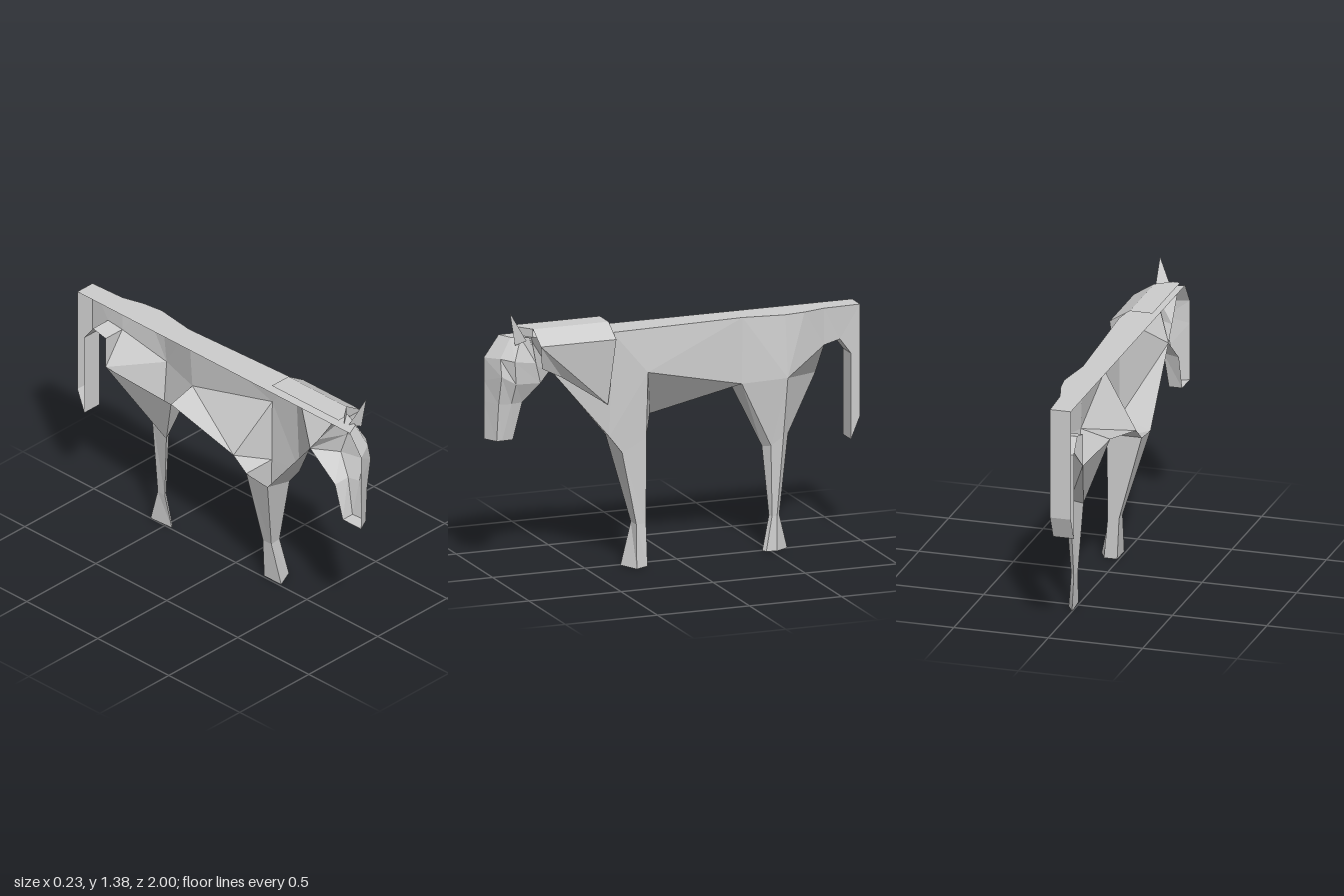
import * as THREE from 'three';

const CX = -0.12; // plane of the open cut side

const material = new THREE.MeshStandardMaterial({
  color: 0xcccccc, flatShading: true, side: THREE.DoubleSide,
});

// Flat-shaded mesh from polygons, each split into a fan
function facets(name, polygons) {
  const pos = [];
  for (const p of polygons)
    for (let i = 1; i < p.length - 1; i++) pos.push(...p[0], ...p[i], ...p[i + 1]);
  const geo = new THREE.BufferGeometry();
  geo.setAttribute('position', new THREE.Float32BufferAttribute(pos, 3));
  geo.computeVertexNormals();
  const mesh = new THREE.Mesh(geo, material);
  mesh.name = name;
  return mesh;
}

// Quads between successive rings of equal length
function loft(rings, closed) {
  const out = [];
  for (let r = 0; r < rings.length - 1; r++) {
    const a = rings[r], b = rings[r + 1], n = a.length;
    for (let i = 0; i < (closed ? n : n - 1); i++) {
      const j = (i + 1) % n;
      out.push([a[i], b[i], b[j], a[j]]);
    }
  }
  return out;
}

export function createModel() {
  const group = new THREE.Group();

  // Points along the back, from poll to dock
  const back = [[0, 0.8], [0.055, 0.37], [0.02, -0.35], [0.05, -0.57], [0.035, -0.68], [0, -0.8], [-0.01, -1]]
    .map(([x, z]) => [x, 1.232, z]);
  const [poll, withers, loin, croup, rump, dock, tailTop] = back;

  // Side and centre points of the trunk
  const jaw = [0.01, 1.08, 0.76];
  const throat = [CX, 1.02, 0.64];
  const shoulder = [0.06, 0.69, 0.39];
  const elbow = [0.074, 1.01, 0.185];
  const flank = [0.035, 0.89, -0.34];
  const haunch = [0.085, 0.91, -0.57];
  const buttock = [0, 1.04, -0.8];
  const breast = [CX, 0.655, 0.34];
  const legOuter = [0.06, 0.6, 0.32];
  const legRear = [0.065, 0.67, 0.19];
  const legInner = [CX, 0.67, 0.19];
  const bellyFront = [CX, 0.74, 0.1];
  const bellyRear = [CX, 0.85, -0.34];
  const crotch = [CX, 0.87, -0.8];

  // Hind leg: knee, ankle and hoof rings (front inner, front outer, outer, rear)
  const knee = [[-0.02, 0.54, -0.47], [0.03, 0.55, -0.5], [0.05, 0.6, -0.56], [0.01, 0.6, -0.6]];
  const ankle = [[0, 0.18, -0.5], [0.02, 0.18, -0.51], [0.025, 0.18, -0.535], [0.005, 0.18, -0.555]];
  const hoof = [[0.01, 0, -0.46], [0.03, 0, -0.475], [0.04, 0, -0.53], [0, 0, -0.6]];

  const topStrip = loft([back.map(([, y, z]) => [CX, y, z]), back], false);
  group.add(facets('back', topStrip));
  group.add(facets('neck', [
    [throat, withers, poll, jaw],
    [throat, shoulder, withers],
    [throat, breast, shoulder],
  ]));
  group.add(facets('trunk', [
    [withers, shoulder, elbow],
    [shoulder, legRear, elbow],
    [shoulder, legOuter, legRear],
    [shoulder, breast, legOuter],
    [withers, elbow, loin],
    [elbow, flank, loin],
    [elbow, legRear, bellyFront],
    [elbow, bellyFront, flank],
    [legRear, legInner, bellyFront],
    [bellyFront, bellyRear, flank],
    [loin, flank, haunch],
    [loin, haunch, croup],
  ]));
  group.add(facets('hindquarter', [
    [croup, haunch, rump],
    [rump, haunch, buttock],
    [rump, buttock, dock],
    [haunch, crotch, buttock],
    [buttock, crotch, [CX, 1.04, -0.8]],
    [haunch, knee[2], knee[3]],
    [haunch, knee[3], crotch],
    [flank, knee[1], haunch],
    [haunch, knee[1], knee[2]],
    [flank, bellyRear, knee[0]],
    [flank, knee[0], knee[1]],
    [bellyRear, crotch, knee[0]],
    [crotch, knee[3], knee[0]],
  ]));
  group.add(facets('hindLeg', [...loft([knee, ankle, hoof], true), hoof]));

  // Front leg tapers from the chest to the ankle, then flares into the hoof
  const foreHoof = [[0.01, 0, 0.31], [0.115, 0, 0.262], [0.08, 0, 0.19], [0.01, 0, 0.19]];
  group.add(facets('frontLeg', [
    ...loft([
      [breast, legOuter, legRear, legInner],
      [[0, 0.22, 0.25], [0.065, 0.22, 0.245], [0.06, 0.22, 0.19], [0, 0.22, 0.19]],
      foreHoof,
    ], true),
    foreHoof,
  ]));

  // Tail: a flat outer side with a strip running round its edge
  const tailSide = [[1.232, -0.8], [1.04, -0.8], [1.06, -0.89], [0.98, -0.95], [0.53, -0.95], [0.65, -1], [1.232, -1]]
    .map(([y, z]) => [-0.01 + (z === -0.8 ? 0.01 : 0), y, z]);
  const [s0, s1, s2, s3, s4, s5, s6] = tailSide;
  group.add(facets('tail', [
    [s0, s1, s2], [s0, s2, s6], [s2, s3, s6], [s3, s4, s5, s6],
    ...loft([tailSide.slice(1), tailSide.slice(1).map(([, y, z]) => [CX, y, z])], false),
  ]));

  // Head: rings from poll to lips, each from front centre round to rear centre
  const head = [
    [[CX, 1.232, 0.92], [-0.045, 1.232, 0.885], [-0.02, 1.232, 0.84], [0, 1.232, 0.79], [CX, 1.232, 0.79]],
    [[CX, 1.12, 1], [-0.02, 1.13, 0.95], [0.03, 1.12, 0.89], [0.015, 1.1, 0.77], [CX, 1.1, 0.7]],
    [[CX, 1, 1], [0, 1.04, 0.95], [0.02, 1, 0.88], [0, 0.99, 0.74], [CX, 1.02, 0.64]],
    [[CX, 0.89, 1], [-0.03, 0.89, 0.955], [-0.02, 0.89, 0.89], [-0.035, 0.89, 0.825], [CX, 0.88, 0.815]],
    [[CX, 0.695, 1], [-0.045, 0.695, 0.96], [-0.045, 0.695, 0.93], [-0.05, 0.695, 0.87], [CX, 0.695, 0.87]],
  ];
  group.add(facets('head', [...loft(head, false), head[0], head[4]]));

  // Ear: a slim three-sided spike
  const tip = [0.01, 1.376, 0.91];
  const base = [[-0.065, 1.232, 0.86], [0.005, 1.2, 0.88], [0.01, 1.22, 0.82]];
  group.add(facets('ear', base.map((p, i) => [p, base[(i + 1) % 3], tip])));

  // Mane: thin sheet over the crest with a flap hanging down the neck
  const front = [[CX, 1.275, 0.84], [-0.08, 1.275, 0.84], [0, 1.275, 0.78], [0.107, 1.208, 0.78]];
  const rear = front.map(([x, y]) => [x, y, 0.37]);
  group.add(facets('mane', [
    ...loft([front, rear], false),
    [front[3], [0.06, 1.08, 0.755], [0.045, 1.02, 0.64], [0.067, 0.86, 0.4], rear[3]],
    [front[1], front[2], [0, 1.232, 0.78], [-0.08, 1.232, 0.84]],
  ]));

  return group;
}
